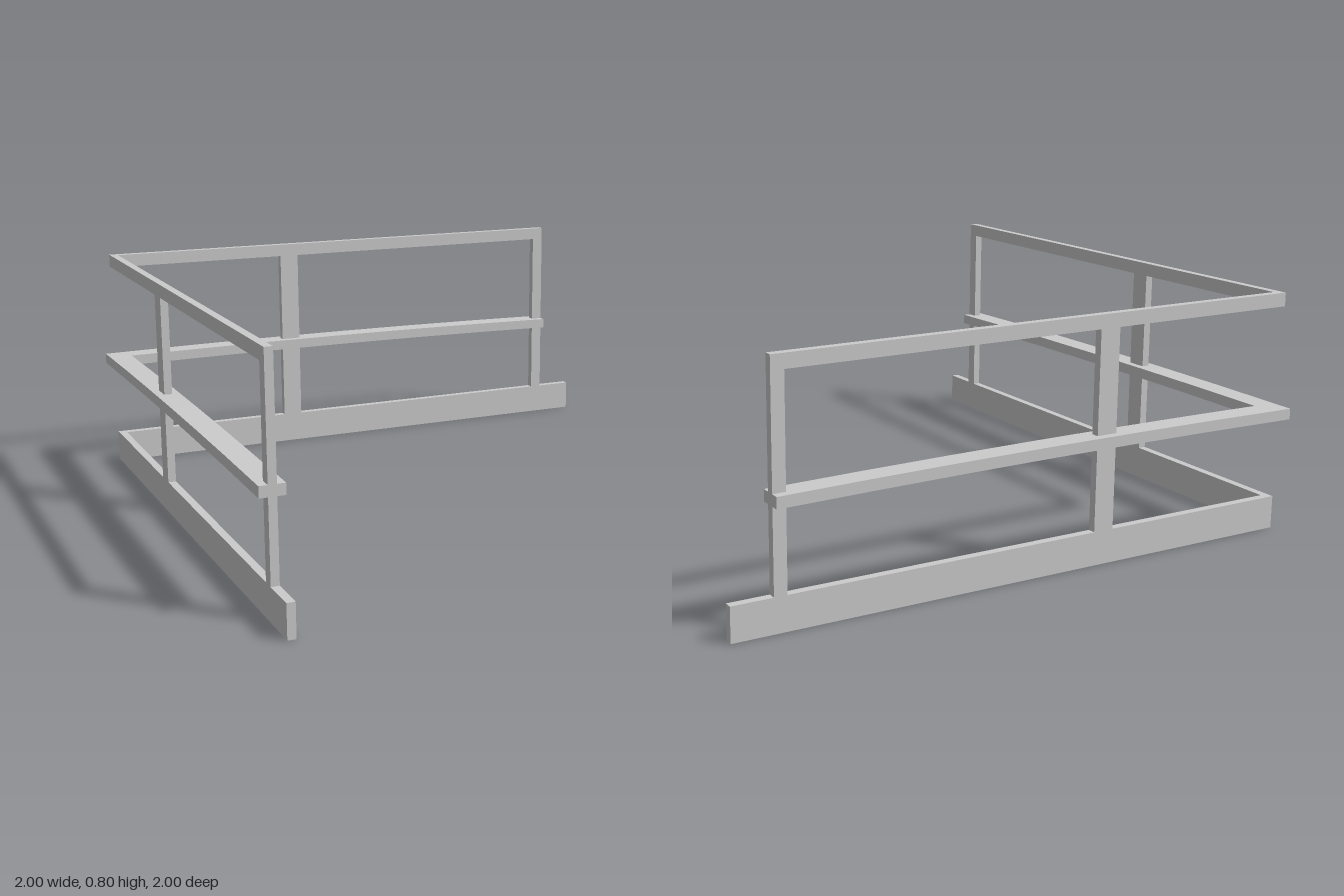
import * as THREE from 'three';

const CENTRE = -0.959; // centre line of both arms
const THIN = 0.027;    // thickness of boards and posts

export function createModel() {
  const group = new THREE.Group();
  const material = new THREE.MeshStandardMaterial({ color: 0xcccccc, flatShading: true });

  // Straight bar along 'x' or 'z', from one position to another
  function bar(axis, name, from, to, bottom, top, thickness, segments = 1) {
    const length = to - from, height = top - bottom, middle = (from + to) / 2;
    const geometry = axis === 'x'
      ? new THREE.BoxGeometry(length, height, thickness, segments, 1, 1)
      : new THREE.BoxGeometry(thickness, height, length, 1, 1, segments);
    geometry.translate(axis === 'x' ? middle : CENTRE, (bottom + top) / 2, axis === 'x' ? CENTRE : middle);
    const mesh = new THREE.Mesh(geometry, material);
    mesh.name = name;
    group.add(mesh);
    return geometry;
  }

  // Bar whose corner end is cut along the diagonal x = z
  function mitredBar(axis, name, to, bottom, top, thickness, segments) {
    const geometry = bar(axis, name, CENTRE, to, bottom, top, thickness, segments);
    const p = geometry.attributes.position;
    for (let i = 0; i < p.count; i++) {
      if (axis === 'x' && p.getX(i) < CENTRE + 1e-4) p.setX(i, p.getZ(i));
      if (axis === 'z' && p.getZ(i) < CENTRE + 1e-4) p.setZ(i, p.getX(i));
    }
    geometry.computeVertexNormals();
    return geometry;
  }

  for (const axis of ['x', 'z']) {
    mitredBar(axis, 'baseBoard', 1, 0, 0.11, THIN);
    mitredBar(axis, 'topRail', 0.867, 0.755, 0.8, THIN);

    // Wide middle rail, gently bowed upwards
    const rail = mitredBar(axis, 'middleRail', 0.867, -0.018, 0.018, 0.081, 6);
    const p = rail.attributes.position;
    for (let i = 0; i < p.count; i++) {
      const s = axis === 'x' ? p.getX(i) : p.getZ(i);
      p.setY(i, p.getY(i) + 0.403 - 0.011 * ((s + 0.2) / 1.065) ** 2);
    }
    rail.computeVertexNormals();

    // Posts
    bar(axis, 'middlePost', -0.304, -0.233, 0.11, 0.755, THIN);
    bar(axis, 'endPost', 0.825, 0.867, 0.11, 0.755, THIN);
  }
  return group;
}
